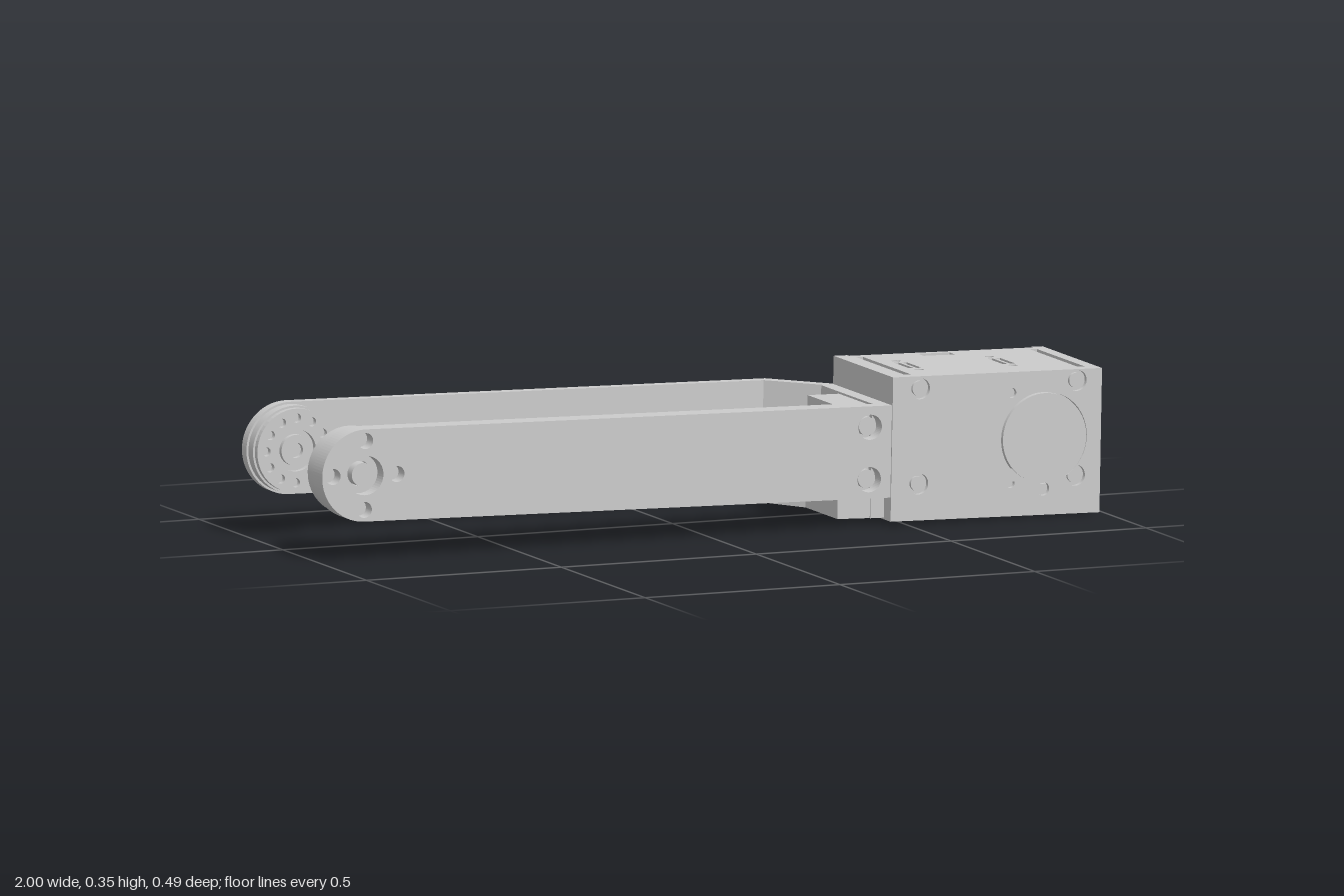
import * as THREE from 'three';

const grey = new THREE.MeshStandardMaterial({ color: 0xcccccc, flatShading: false });

function add(parent, name, geometry, x = 0, y = 0, z = 0) {
  const mesh = new THREE.Mesh(geometry, grey);
  mesh.name = name;
  mesh.position.set(x, y, z);
  parent.add(mesh);
  return mesh;
}

// box given by its limits on each axis
function block(parent, name, x0, x1, y0, y1, z0, z1) {
  return add(parent, name, new THREE.BoxGeometry(x1 - x0, y1 - y0, z1 - z0),
    (x0 + x1) / 2, (y0 + y1) / 2, (z0 + z1) / 2);
}

// cylinder along z between two depths
function disc(parent, name, r, x, y, z0, z1) {
  const g = new THREE.CylinderGeometry(r, r, z1 - z0, 40).rotateX(Math.PI / 2);
  return add(parent, name, g, x, y, (z0 + z1) / 2);
}

const polygon = pts => new THREE.Shape(pts.map(p => new THREE.Vector2(p[0], p[1])));
const circle = (x, y, r) => new THREE.Path().absarc(x, y, r, 0, Math.PI * 2, true);
const rect = (x0, x1, y0, y1) => new THREE.Path([[x0, y0], [x0, y1], [x1, y1], [x1, y0]]
  .map(p => new THREE.Vector2(p[0], p[1])));

// upright plate with holes, from z0 to z1
function plate(parent, name, shape, holes, z0, z1) {
  shape.holes.push(...holes);
  const g = new THREE.ExtrudeGeometry(shape, { depth: z1 - z0, bevelEnabled: false, curveSegments: 24 });
  return add(parent, name, g, 0, 0, z0);
}

// lying plate: shape drawn as (x, -z), from y0 to y1
function slab(parent, name, shape, holes, y0, y1) {
  shape.holes.push(...holes);
  const g = new THREE.ExtrudeGeometry(shape, { depth: y1 - y0, bevelEnabled: false, curveSegments: 16 });
  return add(parent, name, g.rotateX(-Math.PI / 2), 0, y0, 0);
}

const around = (n, r, fn) => Array.from({ length: n }, (_, i) => {
  const a = i / n * Math.PI * 2;
  return fn(r * Math.cos(a), r * Math.sin(a));
});

// round-ended arm about the pivot at the origin
function armShape(end) {
  const s = new THREE.Shape();
  s.moveTo(0, -0.11);
  s.lineTo(end, -0.11);
  s.lineTo(end, 0.11);
  s.lineTo(0, 0.11);
  s.absarc(0, 0, 0.11, Math.PI / 2, Math.PI * 1.5, false);
  return s;
}

const pivotHoles = () => [circle(0, 0, 0.047), ...around(4, 0.082, (x, y) => circle(x, y, 0.019))];

function buildArms(g) {
  const bolts = [[1.295, 0.06], [1.295, -0.065]];
  plate(g, 'frontArm', armShape(1.352), [...pivotHoles(), ...bolts.map(b => circle(b[0], b[1], 0.03))], 0.2, 0.236);
  plate(g, 'frontArmInner', armShape(1.3), [circle(0, 0, 0.03)], 0.18, 0.2);
  bolts.forEach(b => disc(g, 'armBolt', 0.022, b[0], b[1], 0.195, 0.22));
  plate(g, 'backArm', armShape(1.23), pivotHoles(), -0.244, -0.217);

  // pivot hubs on the inner faces
  disc(g, 'frontHub', 0.105, 0, 0, 0.137, 0.182);
  disc(g, 'frontHubPin', 0.014, 0, 0, 0.092, 0.14);
  disc(g, 'frontPivotScrew', 0.028, 0, 0, 0.18, 0.222);
  disc(g, 'backHub', 0.105, 0, 0, -0.217, -0.19);
  const ring = new THREE.Shape().absarc(0, 0, 0.1, 0, Math.PI * 2, false);
  plate(g, 'backHorn', ring, [circle(0, 0, 0.05),
    ...around(12, 0.077, (x, y) => circle(x, y, 0.011))], -0.19, -0.175);
  const collar = new THREE.Shape().absarc(0, 0, 0.037, 0, Math.PI * 2, false);
  plate(g, 'backHornCollar', collar, [circle(0, 0, 0.018)], -0.19, -0.177);
}

function buildBracket(g) {
  // floor joining both arms to the servo
  slab(g, 'bracketFloor', polygon([[1.17, 0.22], [1.23, 0.244], [1.352, 0.12], [1.352, -0.2],
    [1.235, -0.19], [1.235, 0], [1.17, 0.1]]), [], -0.163, -0.115);
  // diagonal wall to the back arm
  slab(g, 'bracketDiagonal', polygon([[1.17, 0.22], [1.23, 0.244], [1.352, 0.12], [1.352, 0.085],
    [1.32, 0.11], [1.215, 0.217]]), [], -0.163, 0.11);
  // solid web behind the front arm and the plate against the servo
  slab(g, 'bracketWeb', polygon([[1.235, 0], [1.32, 0], [1.352, -0.03], [1.352, -0.185],
    [1.235, -0.185]]), [], -0.163, 0.105);
  block(g, 'bracketEndPlate', 1.315, 1.352, -0.163, 0.11, -0.105, 0.2);
}

function buildServo(g) {
  const x0 = 1.35, x1 = 1.886, y0 = -0.167, y1 = 0.177;
  const cx = 1.74, outline = () => polygon([[x0, y0], [x1, y0], [x1, y1], [x0, y1]]);
  const screws = [[1.42, 0.147], [1.822, 0.15], [1.42, -0.08], [1.822, -0.076]];
  block(g, 'servoBody', x0, x1, y0, y1 - 0.012, -0.09, 0.228);

  // front face with screw wells and the round cap
  plate(g, 'servoFront', outline(), [circle(cx, 0.017, 0.11), circle(cx, -0.105, 0.016),
    ...screws.map(s => circle(s[0], s[1], 0.025)),
    ...[0.127, -0.088].map(y => circle(1.655, y, 0.012))], 0.228, 0.24);
  disc(g, 'frontCap', 0.107, cx, 0.017, 0.225, 0.244);
  screws.forEach(s => {
    disc(g, 'frontScrew', 0.018, s[0], s[1], 0.22, 0.236);
    disc(g, 'backScrew', 0.015, s[0], s[1], -0.1, -0.085);
  });

  // back face with the round recess and rear horn
  plate(g, 'servoBack', outline(), [circle(cx, 0.017, 0.105),
    ...screws.map(s => circle(s[0], s[1], 0.023))], -0.106, -0.09);
  const ring = new THREE.Shape().absarc(cx, 0.017, 0.088, 0, Math.PI * 2, false);
  plate(g, 'rearRing', ring, [circle(cx, 0.017, 0.062)], -0.106, -0.09);
  disc(g, 'rearHub', 0.05, cx, 0.017, -0.104, -0.09);
  disc(g, 'rearPin', 0.014, cx, 0.017, -0.114, -0.1);
  block(g, 'servoEndWall', 1.858, x1, y0, y1, -0.116, -0.1);
  block(g, 'servoInnerLip', x0, 1.385, 0.11, y1, -0.116, -0.1);
  block(g, 'servoLowerLip', x0, x1, y0, -0.12, -0.116, -0.1);

  // top cover with grooves, slots and a socket
  const slots = [1.46, 1.7].flatMap(x => [rect(x - 0.016, x - 0.004, -0.115, -0.025),
    rect(x + 0.004, x + 0.016, -0.115, -0.025), circle(x, 0, 0.011), circle(x, -0.14, 0.011)]);
  slab(g, 'servoTop', polygon([[x0, -0.228], [x1, -0.228], [x1, 0.09], [x0, 0.09]]),
    [rect(1.393, 1.41, -0.205, 0.08), rect(1.838, 1.856, -0.205, 0.08),
      rect(1.555, 1.635, 0.055, 0.088), ...slots], y1 - 0.012, y1);
  block(g, 'socket', 1.57, 1.605, y1 - 0.015, y1 - 0.004, -0.08, -0.065);
}

export function createModel() {
  const model = new THREE.Group();
  model.name = 'servoArm';
  // everything is laid out from the arm pivot, with a slight tilt
  const link = new THREE.Group();
  link.name = 'tiltedLink';
  link.position.set(-0.89, 0.206, 0);
  link.rotation.z = -0.02;
  buildArms(link);
  buildBracket(link);
  buildServo(link);
  model.add(link);
  return model;
}
